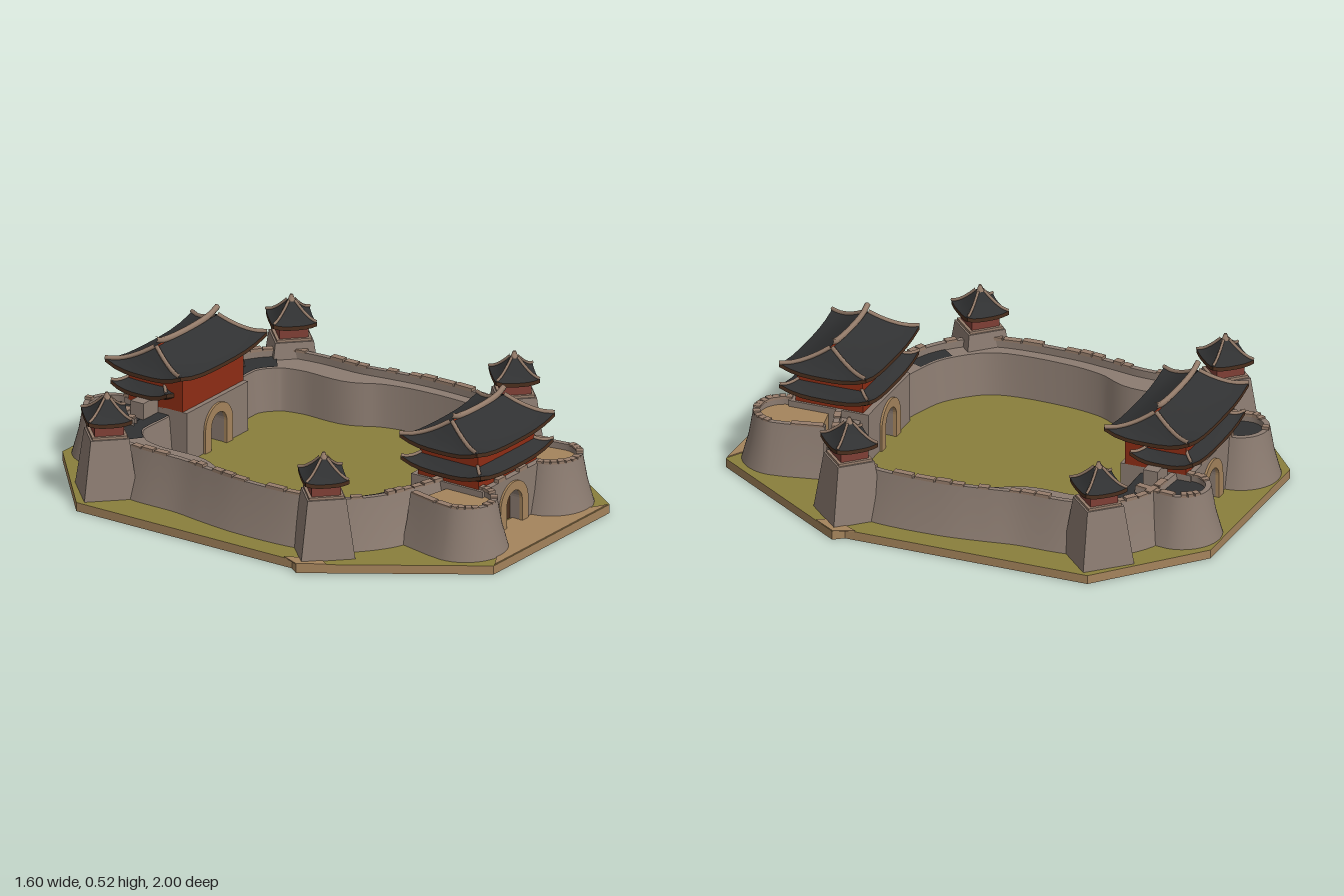
import * as THREE from 'three';
import { toCreasedNormals } from 'three/addons/utils/BufferGeometryUtils.js';

const V = (x, y, z) => new THREE.Vector3(x, y, z);
const lerp = THREE.MathUtils.lerp;

export function createModel() {
  const model = new THREE.Group();
  const mat = (name, color, extra = {}) => Object.assign(new THREE.MeshStandardMaterial({ color, ...extra }), { name });
  const grass = mat('grass', 0x8a7f3c);
  const sand = mat('sand', 0xa5845c);
  const stone = mat('stone', 0x8c7c71, { side: THREE.DoubleSide });
  const trim = mat('trim', 0x967d6b);
  const tile = mat('roofTile', 0x303132, { side: THREE.DoubleSide });
  const red = mat('redTimber', 0x8e2d14);
  const dullRed = mat('dullRedTimber', 0x7f3f36);
  const dark = mat('darkWood', 0x4a2f1e, { side: THREE.DoubleSide });

  const add = (name, geo, material, parent = model) => {
    const mesh = new THREE.Mesh(geo, material);
    mesh.name = name;
    parent.add(mesh);
    return mesh;
  };
  const group = (name, x, z) => {
    const g = new THREE.Group();
    g.name = name;
    g.position.set(x, 0, z);
    model.add(g);
    return g;
  };
  const box = (name, w, d, y0, y1, material, parent, x = 0, z = 0) =>
    add(name, new THREE.BoxGeometry(w, y1 - y0, d).translate(x, (y0 + y1) / 2, z), material, parent);

  // Flat slab from an outline of [x, z] points
  const slab = (name, pts, y0, y1, material, parent) => {
    const shape = new THREE.Shape(pts.map(([x, z]) => new THREE.Vector2(x, z)));
    const geo = new THREE.ExtrudeGeometry(shape, { depth: y1 - y0, bevelEnabled: false });
    return add(name, geo.rotateX(Math.PI / 2).translate(0, y1, 0), material, parent);
  };

  // Skin over rows of points
  const loft = (rows, closed, crease = 0.6) => {
    const n = rows[0].length, index = [];
    for (let i = 0; i < rows.length - 1; i++)
      for (let j = 0; j < (closed ? n : n - 1); j++) {
        const a = i * n + j, b = i * n + (j + 1) % n;
        index.push(a, a + n, b, b, a + n, b + n);
      }
    const geo = new THREE.BufferGeometry().setFromPoints(rows.flat());
    geo.setIndex(index);
    return toCreasedNormals(geo, crease);
  };

  // Wall cross-section along a path of [x, z, thickness]; section is [offset, share of thickness, y]
  const wallSection = [[0.045, 0, 0.03], [0.018, 0, 0.13], [0, 0, 0.235], [-0.022, 0, 0.235],
    [-0.022, 0, 0.205], [0, -1, 0.205], [-0.015, -1, 0.03]];
  const walkSection = [[-0.024, 0, 0.209], [0.004, -1, 0.209]];
  const sweep = (path, section, steps, from = 0, to = 1) => {
    const curve = new THREE.CatmullRomCurve3(path.map(([x, z, t]) => V(x, t, z)), false, 'centripetal');
    const rows = [];
    for (let i = 0; i <= steps; i++) {
      const u = lerp(from, to, i / steps), p = curve.getPoint(u), d = curve.getTangent(u);
      const len = Math.hypot(d.x, d.z), ox = -d.z / len, oz = d.x / len;
      rows.push(section.map(([o, k, y]) => V(p.x + ox * (o + k * p.y), y, p.z + oz * (o + k * p.y))));
    }
    return rows;
  };
  const mirror = (path, s) => s > 0 ? path : path.map(([x, ...rest]) => [-x, ...rest]).reverse();

  // Capstones of uneven height along the parapet
  let seed = 7;
  const rand = () => (seed = (seed * 16807) % 2147483647) / 2147483647;
  const capstones = (rows) => {
    for (let i = 0; i < rows.length - 1; i++) {
      if (rand() < 0.35) continue;
      const a = rows[i][0], b = rows[i + 1][0], h = 0.006 + rand() * 0.008;
      const stoneGeo = new THREE.BoxGeometry(a.distanceTo(b) * 0.9, h, 0.028);
      const m = add('capstone', stoneGeo, trim);
      m.position.set((a.x + b.x) / 2, 0.235 + h / 2 - 0.002, (a.z + b.z) / 2);
      m.rotation.y = Math.atan2(a.z - b.z, b.x - a.x);
    }
  };

  // Ground plate
  const half = [[0.38, -1], [0.77, -0.66], [0.77, 0.34], [0.8, 0.38], [0.38, 1]];
  slab('ground', [...half, ...mirror(half, -1)], 0, 0.035, [grass, sand]);
  slab('frontPath', [[-0.12, 0.78], [0.12, 0.78], [0.2, 0.9], [0.37, 0.998], [-0.37, 0.998], [-0.2, 0.9]], 0.033, 0.039, sand);

  // Curtain walls and round bastions
  const wall = [[0.18, 0.63, 0.1], [0.33, 0.58, 0.09], [0.45, 0.53, 0.09], [0.57, 0.42, 0.09], [0.62, 0.28, 0.07],
    [0.63, 0, 0.07], [0.61, -0.17, 0.08], [0.59, -0.3, 0.12], [0.585, -0.5, 0.12], [0.55, -0.64, 0.13],
    [0.42, -0.75, 0.13], [0.2, -0.78, 0.15]];
  const arc = (cx, cz, r, a0, a1) => Array.from({ length: 9 }, (_, i) => {
    const a = lerp(a0, a1, i / 8);
    return [cx + r * Math.cos(a), cz + r * Math.sin(a), 0.035];
  });
  const frontBastion = [[0.16, 0.64, 0.035], ...arc(0.28, 0.8, 0.12, Math.PI, 0), [0.36, 0.6, 0.035]];
  const backBastion = [[0.36, -0.68, 0.035], ...arc(0.28, -0.84, 0.11, 0, -Math.PI), [0.17, -0.7, 0.035]];
  for (const s of [1, -1]) {
    const path = mirror(wall, s);
    add('curtainWall', loft(sweep(path, wallSection, 56), false), stone);
    capstones(sweep(path, [[-0.011, 0, 0.235]], 36));
    const [b0, b1] = s > 0 ? [0.83, 1] : [0, 0.17];
    add('backWalkway', loft(sweep(path, walkSection, 12, b0, b1), false), tile);
    const [f0, f1] = s > 0 ? [0.1, 0.22] : [0.78, 0.9];
    add('frontWalkway', loft(sweep(path, walkSection, 8, f0, f1), false), tile);
    for (const [name, pts, floor] of [['frontBastion', frontBastion, sand], ['backBastion', backBastion, tile]]) {
      const p = mirror(pts, s);
      add(name, loft(sweep(p, wallSection, 30), false), stone);
      slab(name + 'Floor', p.map(([x, z]) => [x + (s * 0.28 - x) * 0.12, z]).map(([x, z]) =>
        [x, z + (Math.sign(z) * 0.8 - z) * 0.12]), 0.04, 0.21, floor);
      capstones(sweep(p, [[-0.011, 0, 0.235]], 16));
    }
    slab('cornerEarth', [[0.798, 0.38], [0.765, 0.3], [0.7, 0.42], [0.735, 0.475]].map(([x, z]) => [s * x, z]), 0.033, 0.038, sand);
  }

  // Curved hip roof with upturned corners; topX and topZ are the half sizes where it ends
  const hipRoof = (parent, hw, hd, topX, topZ, y0, y1, lift, ridgeR) => {
    const corners = [[1, -1], [1, 1], [-1, 1], [-1, -1]], n = 8;
    const point = (sx, sz, t, dy = 0) => V(sx * lerp(hw, topX, t),
      y0 + dy + (y1 - y0) * t ** 1.35 + lift * Math.abs(sx * sz) ** 3 * (1 - t) ** 2, sz * lerp(hd, topZ, t));
    const ring = (t, dy) => corners.flatMap(([x, z], k) => Array.from({ length: n }, (_, i) => {
      const [nx, nz] = corners[(k + 1) % 4];
      return point(lerp(x, nx, i / n), lerp(z, nz, i / n), t, dy);
    }));
    add('roofTiles', loft([0, 0.2, 0.4, 0.6, 0.8, 1].map((t) => ring(t)), true), tile, parent);
    const under = ring(0.45, 0).map((p) => V(p.x, y0 - 0.012, p.z));
    add('eaves', loft([under, ring(0, -0.016), ring(0)], true), dark, parent);
    for (const [x, z] of corners) {
      const curve = new THREE.CatmullRomCurve3([0, 0.25, 0.5, 0.75, 1].map((t) => point(x, z, t, 0.002)));
      add('hipRidge', new THREE.TubeGeometry(curve, 8, ridgeR, 5), trim, parent);
    }
  };

  // Corner towers
  for (const s of [1, -1])
    for (const [x, z] of [[0.625, 0.385], [0.605, -0.635]]) {
      const g = group('cornerTower', s * x, z);
      add('towerBase', toCreasedNormals(new THREE.CylinderGeometry(0.105, 0.148, 0.24, 4).translate(0, 0.15, 0), 0.3), stone, g);
      const top = new THREE.Group();
      top.name = 'towerTop';
      top.rotation.y = Math.PI / 4;
      g.add(top);
      box('towerLedge', 0.135, 0.135, 0.265, 0.28, trim, top);
      box('towerRoom', 0.112, 0.112, 0.27, 0.345, dullRed, top);
      hipRoof(top, 0.084, 0.084, 0.012, 0.012, 0.338, 0.415, 0.012, 0.006);
      add('finial', new THREE.CylinderGeometry(0.006, 0.02, 0.035, 6).translate(0, 0.42, 0), trim, top);
    }

  // Arched outlines for the gates
  const arch = (T, w, top) => {
    const p = new T();
    p.moveTo(-w, 0.03);
    p.lineTo(w, 0.03);
    p.lineTo(w, top - w);
    p.absarc(0, top - w, w, 0, Math.PI, false);
    p.lineTo(-w, 0.03);
    return p;
  };
  const gatehouse = (name, z, dir, depth) => {
    const g = group(name, 0, z);
    if (dir < 0) g.rotation.y = Math.PI;
    const block = new THREE.Shape([[-0.2, 0.03], [0.2, 0.03], [0.2, 0.235], [-0.2, 0.235]].map(([x, y]) => new THREE.Vector2(x, y)));
    block.holes.push(arch(THREE.Path, 0.052, 0.18));
    add('gateBlock', new THREE.ExtrudeGeometry(block, { depth, bevelEnabled: false, curveSegments: 8 }).translate(0, 0, -depth / 2), stone, g);
    const frame = arch(THREE.Shape, 0.09, 0.215);
    frame.holes.push(arch(THREE.Path, 0.05, 0.178));
    for (const s of [1, -1])
      add('archFrame', new THREE.ExtrudeGeometry(frame, { depth: 0.014, bevelEnabled: false, curveSegments: 8 })
        .translate(0, 0, s * (depth / 2 + 0.002) - 0.007), sand, g);
    box('gateDoor', 0.11, 0.02, 0.03, 0.185, dark, g, 0, depth / 2 - 0.06);
    for (const x of [-0.07, 0.07]) box('gateParapet', 0.05, 0.02, 0.23, 0.25, trim, g, x, depth / 2 - 0.01);
    return g;
  };
  const ridgeBeam = (g, r, y) => add('mainRidge', new THREE.TubeGeometry(new THREE.CatmullRomCurve3(
    [V(-r, y + 0.028, 0), V(-r * 0.75, y + 0.01, 0), V(0, y, 0), V(r * 0.75, y + 0.01, 0), V(r, y + 0.028, 0)]), 16, 0.012, 6), trim, g);

  // Front gatehouse with two full roofs
  const front = gatehouse('frontGatehouse', 0.655, 1, 0.33);
  box('lowerRoom', 0.38, 0.28, 0.23, 0.3, red, front);
  box('upperRoom', 0.37, 0.27, 0.31, 0.39, red, front);
  hipRoof(front, 0.24, 0.185, 0.17, 0.12, 0.288, 0.335, 0.028, 0.007);
  hipRoof(front, 0.255, 0.18, 0.17, 0.004, 0.385, 0.475, 0.028, 0.009);
  ridgeBeam(front, 0.175, 0.475);

  // Back gatehouse, its tall room open toward the court
  const back = gatehouse('backGatehouse', -0.695, -1, 0.29);
  box('tallRoom', 0.4, 0.25, 0.23, 0.39, red, back);
  const skirt = new THREE.Group();
  skirt.name = 'outerSkirtRoof';
  skirt.position.z = 0.045;
  back.add(skirt);
  hipRoof(skirt, 0.25, 0.13, 0.18, 0.07, 0.288, 0.335, 0.028, 0.007);
  hipRoof(back, 0.285, 0.175, 0.2, 0.004, 0.385, 0.475, 0.032, 0.009);
  ridgeBeam(back, 0.205, 0.478);
  for (const s of [1, -1]) box('sideParapet', 0.1, 0.06, 0.2, 0.275, stone, back, s * 0.245, 0.02);

  return model;
}
